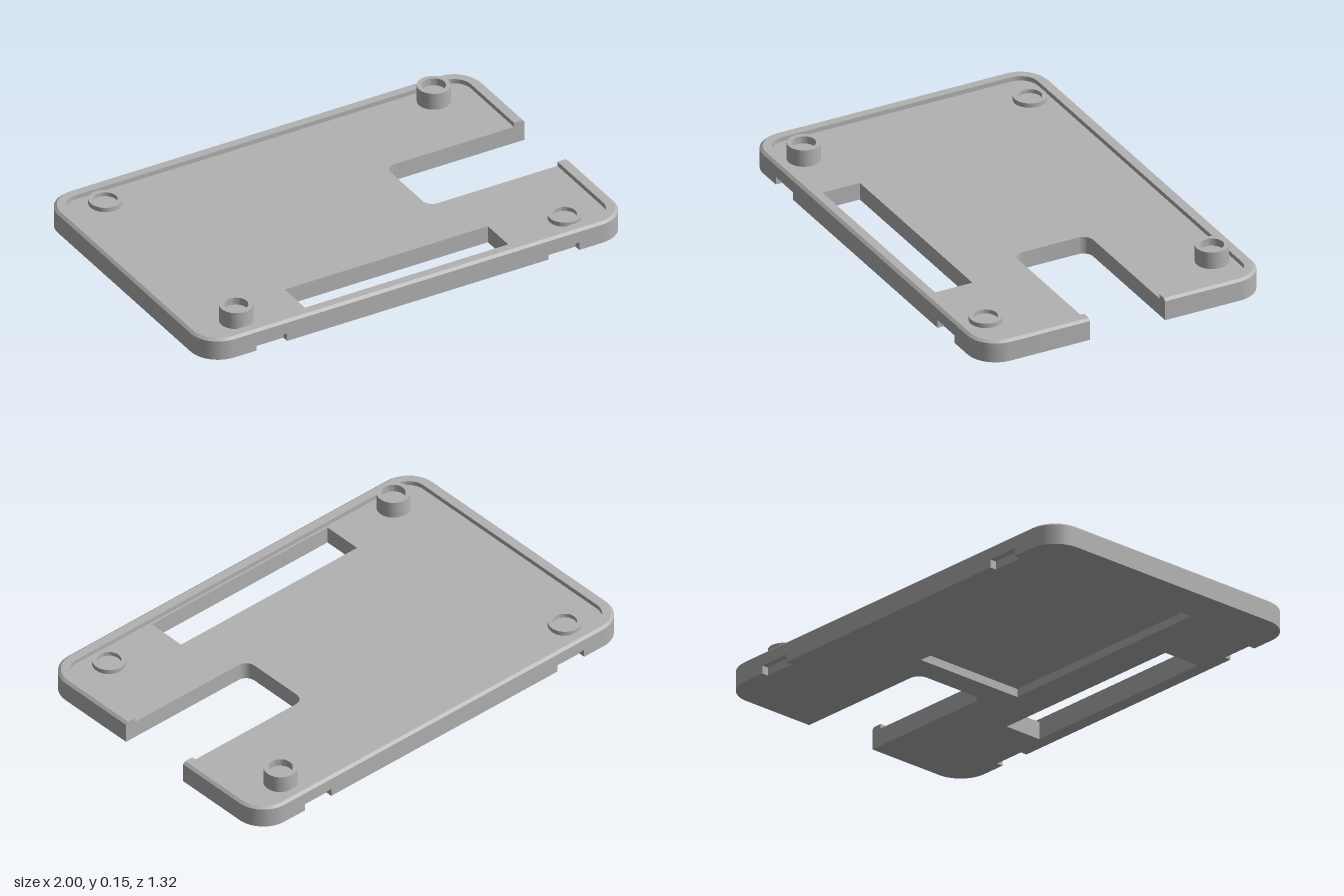
import * as THREE from 'three';
import { toCreasedNormals } from 'three/addons/utils/BufferGeometryUtils.js';

const W = 1, D = 0.66, R = 0.13;                 // half width, half depth, corner radius
const STEP = 0.036, FLOOR = 0.077, EDGE = 0.087, TOP = 0.097;
const CUT = { x: 0.34, back: -0.185, front: 0.163, r: 0.045 };
const NOTCHES = [[0.76, 0.615], [-0.62, -0.765]], NOTCH_DEPTH = 0.03;

// Tray outline in plan (shape y = -z), with the side cut-out and optional edge notches
function outline(notched) {
  const s = new THREE.Shape();
  s.moveTo(W, -CUT.back);
  s.lineTo(W, D - R);
  s.absarc(W - R, D - R, R, 0, Math.PI / 2);
  if (notched) for (const [a, b] of NOTCHES) {
    s.lineTo(a, D); s.lineTo(a, D - NOTCH_DEPTH); s.lineTo(b, D - NOTCH_DEPTH); s.lineTo(b, D);
  }
  s.lineTo(R - W, D);
  s.absarc(R - W, D - R, R, Math.PI / 2, Math.PI);
  s.lineTo(-W, R - D);
  s.absarc(R - W, R - D, R, Math.PI, Math.PI * 1.5);
  if (notched) for (const [b, a] of [...NOTCHES].reverse()) {
    s.lineTo(a, -D); s.lineTo(a, NOTCH_DEPTH - D); s.lineTo(b, NOTCH_DEPTH - D); s.lineTo(b, -D);
  }
  s.lineTo(W - R, -D);
  s.absarc(W - R, R - D, R, Math.PI * 1.5, Math.PI * 2);
  s.lineTo(W, -CUT.front);
  const { x, r } = CUT;
  s.lineTo(x + r, -CUT.front);
  s.absarc(x + r, -CUT.front + r, r, Math.PI * 1.5, Math.PI, true);
  s.lineTo(x, -CUT.back - r);
  s.absarc(x + r, -CUT.back - r, r, Math.PI, Math.PI / 2, true);
  s.closePath();
  return s;
}

function rectHole(x0, x1, z0, z1) {
  return new THREE.Path([[x0, -z1], [x0, -z0], [x1, -z0], [x1, -z1]].map(p => new THREE.Vector2(...p)));
}

function layer(shape, y0, y1) {
  const g = new THREE.ExtrudeGeometry(shape, { depth: y1 - y0, bevelEnabled: false, curveSegments: 10 });
  g.rotateX(-Math.PI / 2).translate(0, y0, 0);
  return toCreasedNormals(g, 0.5);
}

// Raised lip: a chamfered section swept round the tray from one side of the cut-out to the other
function rimGeometry() {
  const section = [[0, FLOOR], [0, EDGE], [0.012, TOP], [0.05, TOP], [0.05, FLOOR]];
  const loops = section.map(([inset, y]) => {
    const pts = [[W - inset, y, CUT.back]];
    [[1, -1], [-1, -1], [-1, 1], [1, 1]].forEach(([sx, sz], k) => {
      for (let i = 0; i <= 10; i++) {
        const a = (k + i / 10) * Math.PI / 2;
        pts.push([sx * (W - R) + (R - inset) * Math.cos(a), y, sz * (D - R) - (R - inset) * Math.sin(a)]);
      }
    });
    pts.push([W - inset, y, CUT.front]);
    return pts;
  });
  const pos = [], tri = (a, b, c) => pos.push(...a, ...b, ...c);
  const last = loops[0].length - 1;
  for (let j = 0; j < section.length - 1; j++) {
    for (let i = 0; i < last; i++) {
      const a = loops[j][i], b = loops[j][i + 1], c = loops[j + 1][i + 1], d = loops[j + 1][i];
      tri(a, b, c); tri(a, c, d);
    }
  }
  // End faces at the cut-out
  for (let j = 1; j < section.length - 1; j++) {
    tri(loops[0][0], loops[j][0], loops[j + 1][0]);
    tri(loops[0][last], loops[j + 1][last], loops[j][last]);
  }
  const g = new THREE.BufferGeometry();
  g.setAttribute('position', new THREE.Float32BufferAttribute(pos, 3));
  return toCreasedNormals(g, 0.5);
}

// Round standoff with a blind hole
function bossGeometry(top, holeFloor) {
  const profile = [[0.07, FLOOR - 0.005], [0.07, top], [0.05, top], [0.05, holeFloor], [0, holeFloor]];
  return toCreasedNormals(new THREE.LatheGeometry(profile.map(p => new THREE.Vector2(...p)), 40), 0.5);
}

export function createModel() {
  const group = new THREE.Group();
  group.name = 'tray';
  const grey = new THREE.MeshStandardMaterial({ color: 0xb2b2b2 });
  grey.name = 'grey plastic';
  const add = (name, geometry, x = 0, z = 0) => {
    const m = new THREE.Mesh(geometry, grey);
    m.name = name;
    m.position.set(x, 0, z);
    group.add(m);
  };

  // Lower layer carries the notches and the underside recess
  const lower = outline(true);
  lower.holes.push(rectHole(-0.49, 0.47, 0.42, 0.6), rectHole(-0.82, 0.23, -0.27, 0.26));
  add('lowerPlate', layer(lower, 0, STEP));

  const upper = outline(false);
  upper.holes.push(rectHole(-0.49, 0.47, 0.42, 0.6));
  add('floorPlate', layer(upper, STEP, FLOOR));

  add('rim', rimGeometry());

  // Tall and short standoffs on opposite diagonals
  const tall = bossGeometry(0.153, 0.12), low = bossGeometry(TOP, FLOOR + 0.002);
  add('tallStandoffFront', tall, -0.78, 0.522);
  add('tallStandoffBack', tall, 0.772, -0.525);
  add('shortStandoffFront', low, 0.772, 0.522);
  add('shortStandoffBack', low, -0.78, -0.525);
  return group;
}
